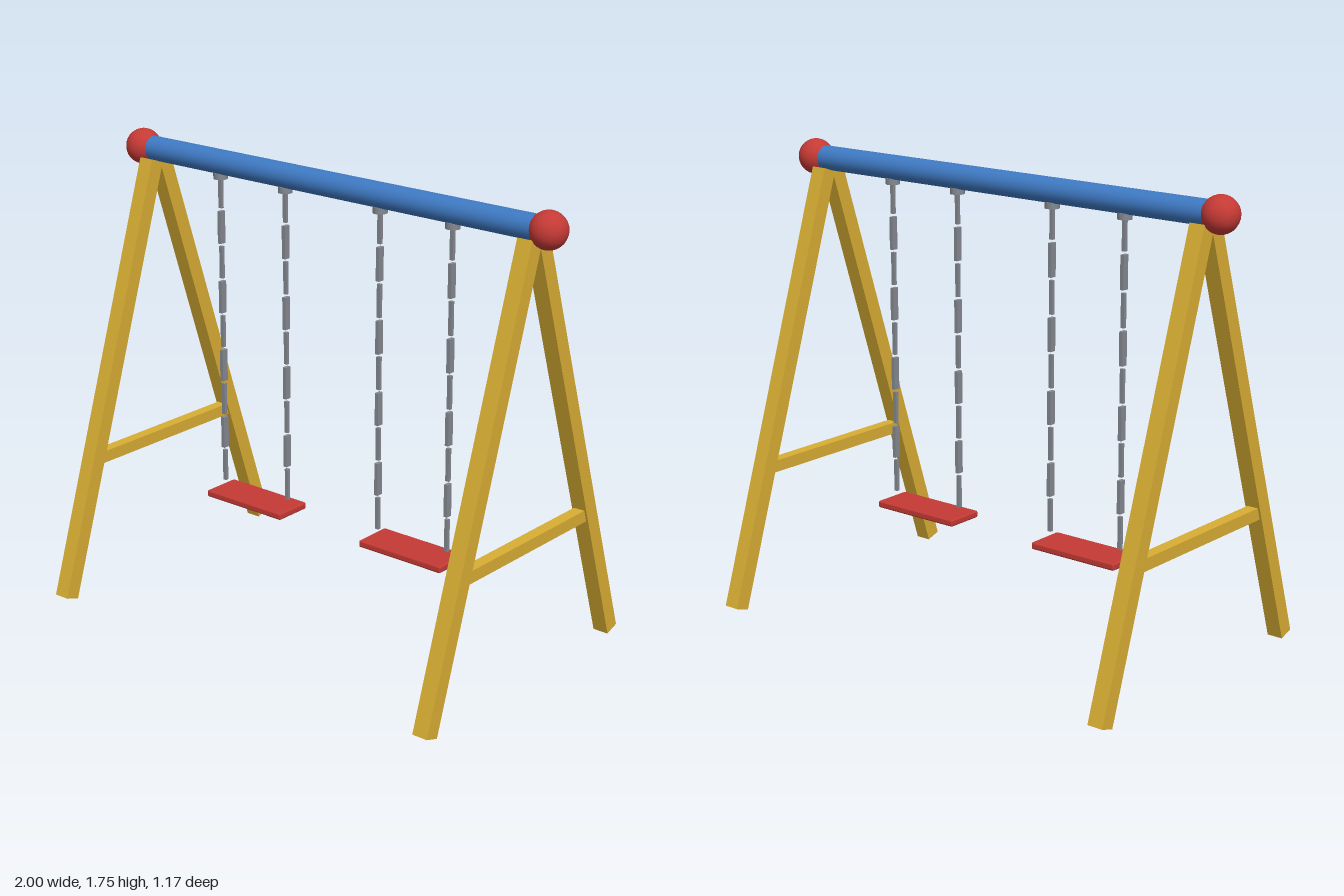
import * as THREE from 'three';
import { RoundedBoxGeometry } from 'three/addons/geometries/RoundedBoxGeometry.js';

const mat = (name, color) => {
  const m = new THREE.MeshStandardMaterial({ color });
  m.name = name;
  return m;
};

export function createModel() {
  const yellow = mat('yellow paint', 0xd9ae33);
  const blue = mat('blue paint', 0x3f7ac4);
  const red = mat('red plastic', 0xc53a35);
  const grey = mat('chain metal', 0x858a91);

  const model = new THREE.Group();
  model.name = 'swingSet';
  const add = (parent, name, geometry, material, x, y, z) => {
    const mesh = new THREE.Mesh(geometry, material);
    mesh.name = name;
    mesh.position.set(x, y, z);
    parent.add(mesh);
    return mesh;
  };

  // Top beam
  const beam = new THREE.CylinderGeometry(0.046, 0.046, 1.8, 24).rotateZ(Math.PI / 2);
  add(model, 'topBeam', beam, blue, 0, 1.68, 0);

  // A-frames with end caps
  const foot = new THREE.Vector2(0.555, 0.0093);
  const top = new THREE.Vector2(0.022, 1.64);
  const legGeo = new THREE.BoxGeometry(0.062, foot.distanceTo(top), 0.06);
  const tilt = Math.atan2(foot.x - top.x, top.y - foot.y);
  const braceGeo = new THREE.BoxGeometry(0.045, 0.046, 0.74);
  const capGeo = new THREE.SphereGeometry(0.068, 20, 14);
  for (const side of [-1, 1]) {
    const frame = new THREE.Group();
    frame.name = side > 0 ? 'leftFrame' : 'rightFrame';
    model.add(frame);
    for (const s of [-1, 1]) {
      const leg = add(frame, s > 0 ? 'frontLeg' : 'backLeg', legGeo, yellow,
        side * 0.872, (foot.y + top.y) / 2, s * (foot.x + top.x) / 2);
      leg.rotation.x = -s * tilt;
    }
    add(frame, 'crossBrace', braceGeo, yellow, side * 0.872, 0.531, 0);
    add(frame, 'endCap', capGeo, red, side * 0.932, 1.68, 0);
  }

  // Swings: seat, two chains of alternating links, two beam brackets
  const seatGeo = new RoundedBoxGeometry(0.375, 0.027, 0.154, 2, 0.007);
  const bracketGeo = new THREE.CylinderGeometry(0.027, 0.027, 0.024, 16);
  const thinLink = new THREE.BoxGeometry(0.015, 0.125, 0.013);
  const wideLink = new THREE.BoxGeometry(0.015, 0.125, 0.026);
  for (const side of [-1, 1]) {
    const swing = new THREE.Group();
    swing.name = side > 0 ? 'leftSwing' : 'rightSwing';
    swing.position.x = side * 0.379;
    model.add(swing);
    add(swing, 'seat', seatGeo, red, 0, 0.37, 0);
    for (const s of [-1, 1]) {
      add(swing, 'bracket', bracketGeo, grey, s * 0.159, 1.628, 0);
      for (let i = 0; i < 9; i++) {
        add(swing, 'chainLink', i % 2 ? wideLink : thinLink, grey,
          s * 0.159, 1.566 - 0.1364 * i, 0);
      }
    }
  }
  return model;
}
